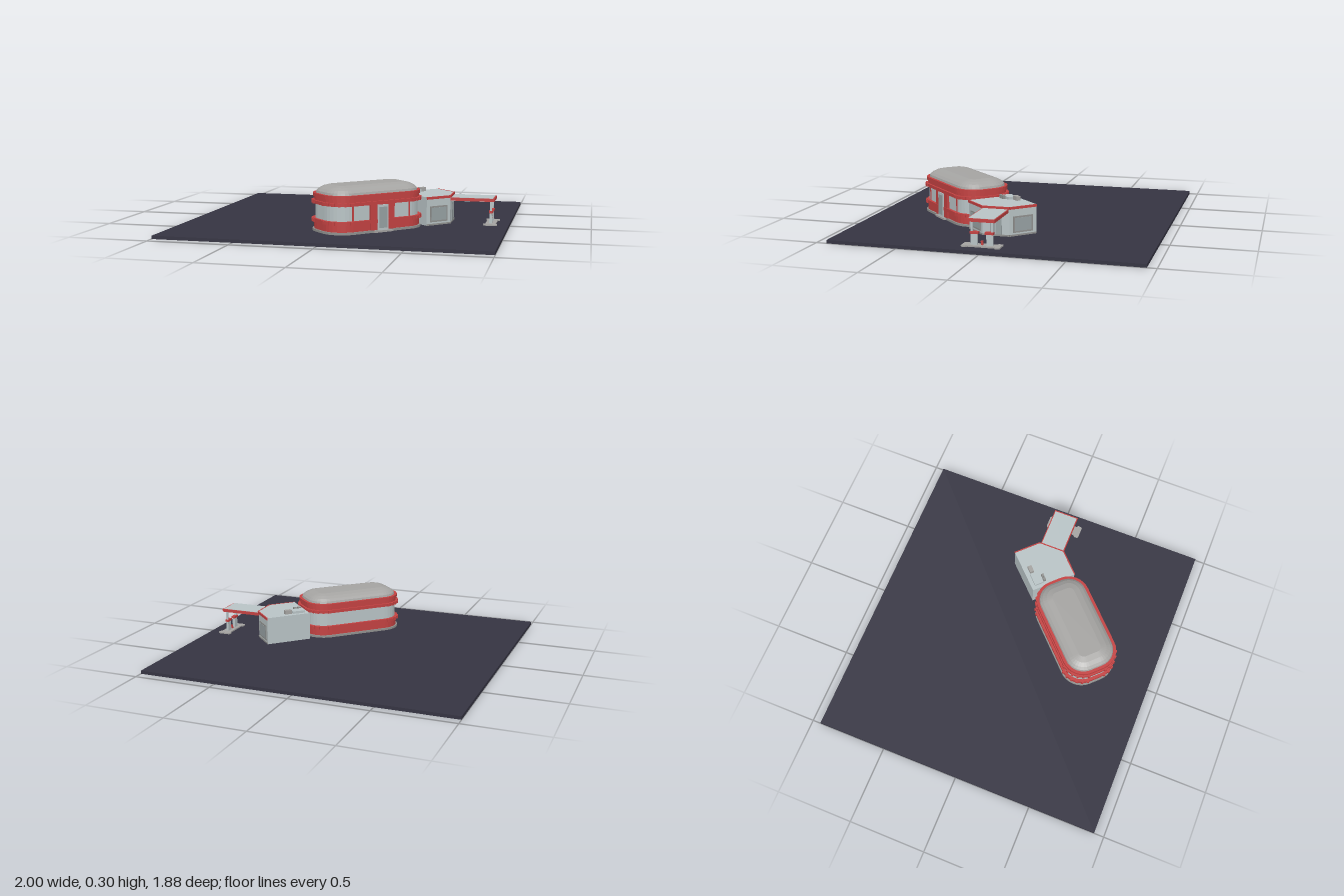
import * as THREE from 'three';

const mat = (name, color) => Object.assign(new THREE.MeshStandardMaterial({ color }), { name });

export function createModel() {
  const asphalt = mat('asphalt', 0x353442);
  const red = mat('red paint', 0xc44242);
  const pale = mat('pale wall', 0xb9c4c6);
  const grey = mat('roof grey', 0xa5a4a2);
  const stone = mat('stone grey', 0x90918f);
  const pane = mat('shaded pane', 0x98a2a4);

  const model = new THREE.Group();
  model.name = 'fillingStation';

  const add = (parent, name, geo, material, x = 0, y = 0, z = 0) => {
    const m = new THREE.Mesh(geo, material);
    m.name = name;
    m.position.set(x, y, z);
    parent.add(m);
    return m;
  };
  // box given by its centre in x and z and its bottom and top heights
  const box = (parent, name, material, w, d, x, z, y0, y1) =>
    add(parent, name, new THREE.BoxGeometry(w, y1 - y0, d), material, x, (y0 + y1) / 2, z);
  // upright prism from a list of [x, z] points
  const prism = (parent, name, material, pts, y0, y1) => {
    const shape = new THREE.Shape(pts.map(([x, z]) => new THREE.Vector2(x, -z)));
    const geo = new THREE.ExtrudeGeometry(shape, { depth: y1 - y0, bevelEnabled: false });
    geo.rotateX(-Math.PI / 2);
    return add(parent, name, geo, material, 0, y0, 0);
  };
  const group = (name, x, z, angle) => {
    const g = new THREE.Group();
    g.name = name;
    g.position.set(x, 0, z);
    g.rotation.y = angle;
    model.add(g);
    return g;
  };

  box(model, 'ground', asphalt, 2, 1.88, 0, -0.004, 0, 0.02);

  // --- main hall: rounded rectangle turned by 45 degrees ---
  const L = 0.34, W = 0.18, R = 0.14, SEG = 8;
  const hall = group('hall', 0.162, 0.362, Math.PI / 4);
  const corners = [[1, 1], [-1, 1], [-1, -1], [1, -1]];
  // outline pulled inward by off
  const ring = (off) => corners.flatMap(([sx, sz], c) =>
    Array.from({ length: SEG + 1 }, (_, i) => {
      const a = (c + i / SEG) * Math.PI / 2;
      return [sx * (L - R) + (R - off) * Math.cos(a), sz * (W - R) + (R - off) * Math.sin(a)];
    }));

  [
    ['plinth', stone, 0, 0.02, 0.034],
    ['lowerWall', red, 0.01, 0.034, 0.08],
    ['sillBand', red, 0, 0.077, 0.098],
    ['windowBand', pale, 0.018, 0.098, 0.19],
    ['lintelBand', red, 0, 0.188, 0.208],
    ['upperWall', red, 0.012, 0.208, 0.228],
    ['cornice', red, 0.004, 0.228, 0.25],
  ].forEach(([name, m, off, y0, y1]) => prism(hall, name, m, ring(off), y0, y1));

  // small ribs on the rounded corners of both bands
  corners.forEach(([sx, sz], c) => {
    for (let i = 0; i < 6; i++) {
      const a = (c + (i + 0.5) / 6) * Math.PI / 2;
      const x = sx * (L - R) + R * Math.cos(a), z = sz * (W - R) + R * Math.sin(a);
      for (const y of [0.077, 0.188]) {
        box(hall, 'bandRib', red, 0.012, 0.014, x, z, y, y + 0.02).rotation.y = -a;
      }
    }
  });

  // domed roof lofted through shrinking outlines
  const profile = [[0.022, 0.25], [0.026, 0.263], [0.042, 0.277], [0.068, 0.29], [0.105, 0.299]];
  const pos = [];
  const loops = profile.map(([off, y]) => ring(off).map(([x, z]) => [x, y, z]));
  const n = loops[0].length;
  for (let i = 0; i < n; i++) {
    const j = (i + 1) % n;
    for (let k = 0; k < loops.length - 1; k++) {
      const a = loops[k][i], b = loops[k][j], c = loops[k + 1][j], d = loops[k + 1][i];
      pos.push(...a, ...c, ...b, ...a, ...d, ...c);
    }
    const top = loops[loops.length - 1];
    pos.push(...top[i], 0, 0.3, 0, ...top[j]);
  }
  const dome = new THREE.BufferGeometry();
  dome.setAttribute('position', new THREE.Float32BufferAttribute(pos, 3));
  dome.computeVertexNormals();
  add(hall, 'domedRoof', dome, grey);

  // entrance in the middle of the long front
  box(hall, 'doorSurround', red, 0.17, 0.02, 0, 0.167, 0.034, 0.19);
  box(hall, 'door', pale, 0.074, 0.02, 0, 0.173, 0.03, 0.186);
  box(hall, 'doorPane', pane, 0.054, 0.004, 0, 0.184, 0.045, 0.172);
  box(hall, 'doorStep', grey, 0.136, 0.03, 0, 0.177, 0.02, 0.032);
  // red posts closing the front windows
  for (const s of [-1, 1]) box(hall, 'windowPost', red, 0.01, 0.01, s * 0.2, 0.16, 0.098, 0.19);

  // --- annexe: square with one corner cut off ---
  const plan = [[0.508, -0.2], [0.3, 0.012], [0.508, 0.224], [0.636, 0.096], [0.636, -0.07]];
  prism(model, 'annexe', pale, plan, 0.02, 0.198);
  [
    ['frontFacade', 0.572, 0.16, Math.PI / 4, 0.181, true],
    ['sideFacade', 0.636, 0.013, Math.PI / 2, 0.166, false],
    ['rearFacade', 0.572, -0.135, Math.PI * 0.75, 0.182, true],
  ].forEach(([name, x, z, angle, len, window]) => {
    const g = group(name, x, z, angle);
    box(g, 'roofTrim', red, len, 0.008, 0, 0.002, 0.184, 0.199);
    box(g, 'skirting', stone, len, 0.006, 0, 0.001, 0.02, 0.03);
    if (window) {
      box(g, 'windowFrame', stone, 0.132, 0.006, 0, 0.001, 0.04, 0.14);
      box(g, 'windowPane', pane, 0.112, 0.008, 0, 0.002, 0.05, 0.13);
    } else {
      for (const s of [-1, 1]) {
        box(g, 'doorLeaf', pane, 0.034, 0.006, s * 0.019, 0.001, 0.03, 0.145);
      }
    }
  });

  // roof equipment
  const kit = group('roofEquipment', 0.385, 0.005, Math.PI / 4);
  box(kit, 'roofHatch', pale, 0.085, 0.06, 0, 0, 0.198, 0.214);
  box(kit, 'ventBox', grey, 0.045, 0.026, 0.073, -0.012, 0.198, 0.224);
  for (const s of [-1, 1]) {
    box(kit, 'smallVent', stone, 0.02, 0.016, -0.012 + s * 0.014, 0.043, 0.198, 0.22);
  }

  // --- canopy over the pumps ---
  const cz = 0.016;
  box(model, 'canopy', red, 0.274, 0.164, 0.773, cz, 0.165, 0.184);
  box(model, 'canopyTop', pale, 0.262, 0.152, 0.771, cz, 0.183, 0.186);
  box(model, 'canopyCeiling', pale, 0.262, 0.152, 0.771, cz, 0.163, 0.166);

  // pump island with wider ends
  const half = [[-0.032, 0.08], [-0.043, 0.088], [-0.043, 0.108], [-0.036, 0.116],
    [0.036, 0.116], [0.043, 0.108], [0.043, 0.088], [0.032, 0.08]];
  const island = [...half, ...half.map(([x, z]) => [-x, -z])].map(([x, z]) => [x + 0.888, z + cz]);
  prism(model, 'pumpIsland', grey, island, 0.02, 0.028);
  for (const s of [-1, 1]) {
    const z = cz + s * 0.045;
    box(model, 'canopyPost', pale, 0.012, 0.012, 0.888, z + s * 0.016, 0.028, 0.165);
    box(model, 'pump', pale, 0.018, 0.034, 0.888, z, 0.028, 0.092);
    box(model, 'pumpCap', red, 0.024, 0.05, 0.888, z, 0.092, 0.106);
  }
  box(model, 'islandBin', red, 0.012, 0.012, 0.888, cz, 0.028, 0.052);

  return model;
}
